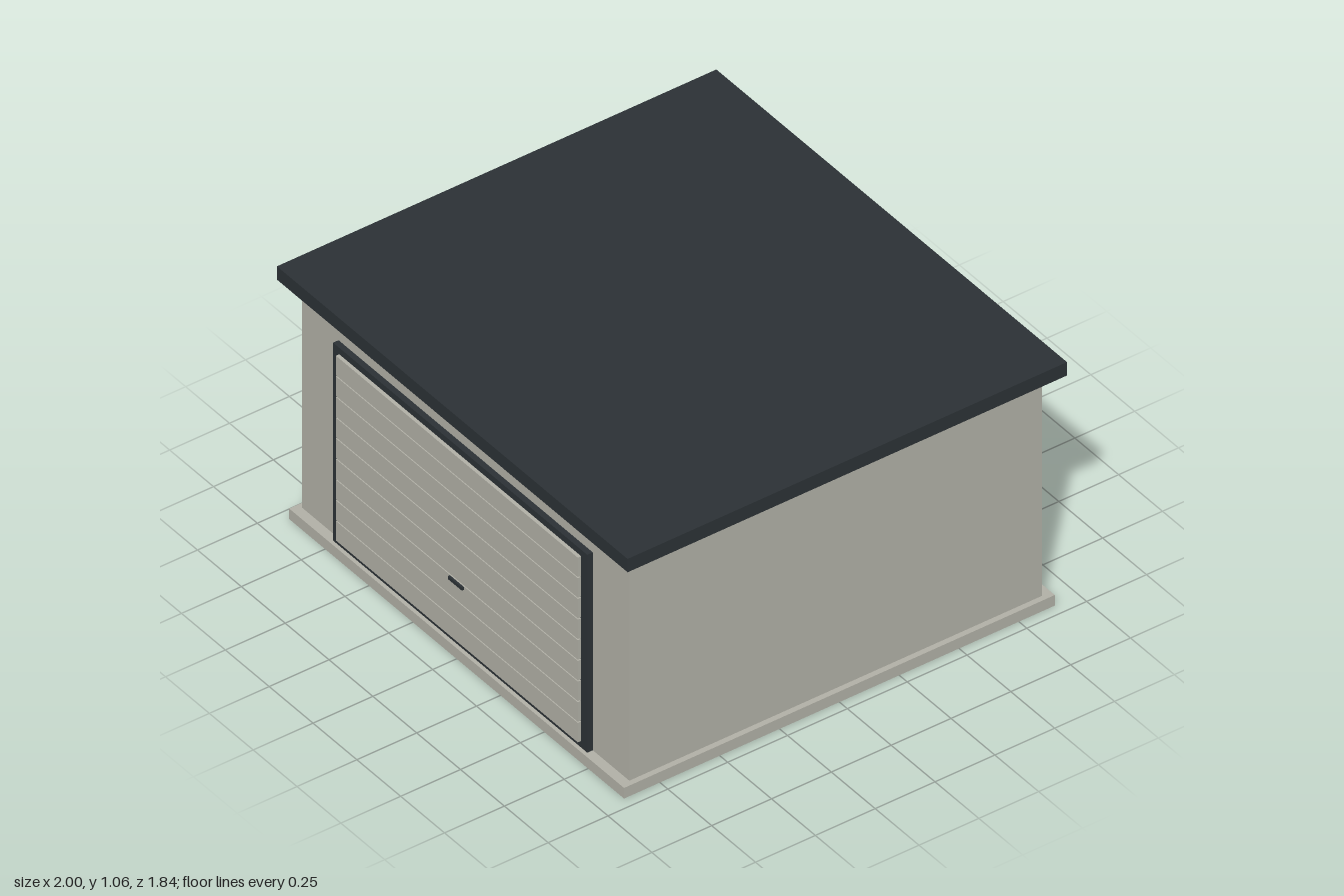
import * as THREE from 'three';

export function createModel() {
  const group = new THREE.Group();
  const stone = new THREE.MeshStandardMaterial({ color: 0xb0afa5 });
  const dark = new THREE.MeshStandardMaterial({ color: 0x2b3135 });

  // Box given by its lower and upper corners
  const box = (name, material, [x0, y0, z0], [x1, y1, z1]) => {
    const mesh = new THREE.Mesh(new THREE.BoxGeometry(x1 - x0, y1 - y0, z1 - z0), material);
    mesh.position.set((x0 + x1) / 2, (y0 + y1) / 2, (z0 + z1) / 2);
    mesh.name = name;
    group.add(mesh);
  };

  // Building shell
  box('foundation', stone, [-0.955, 0, -0.9], [0.955, 0.045, 0.9]);
  box('walls', stone, [-0.933, 0.045, -0.862], [0.933, 1.0, 0.862]);
  box('roof', dark, [-1, 1.0, -0.918], [1, 1.057, 0.918]);

  // Dark door surround, also seen in the gaps between the slats
  box('doorFrame', dark, [-0.725, 0.045, 0.862], [0.725, 0.888, 0.885]);

  // Sectional door slats
  const count = 9, bottom = 0.071, pitch = 0.088, gap = 0.005;
  for (let i = 0; i < count; i++) {
    const y = bottom + i * pitch;
    box('doorSlat' + (i + 1), stone, [-0.69, y + gap / 2, 0.885], [0.69, y + pitch - gap / 2, 0.899]);
  }

  box('doorHandle', dark, [-0.04, 0.318, 0.895], [0.04, 0.331, 0.907]);
  return group;
}
